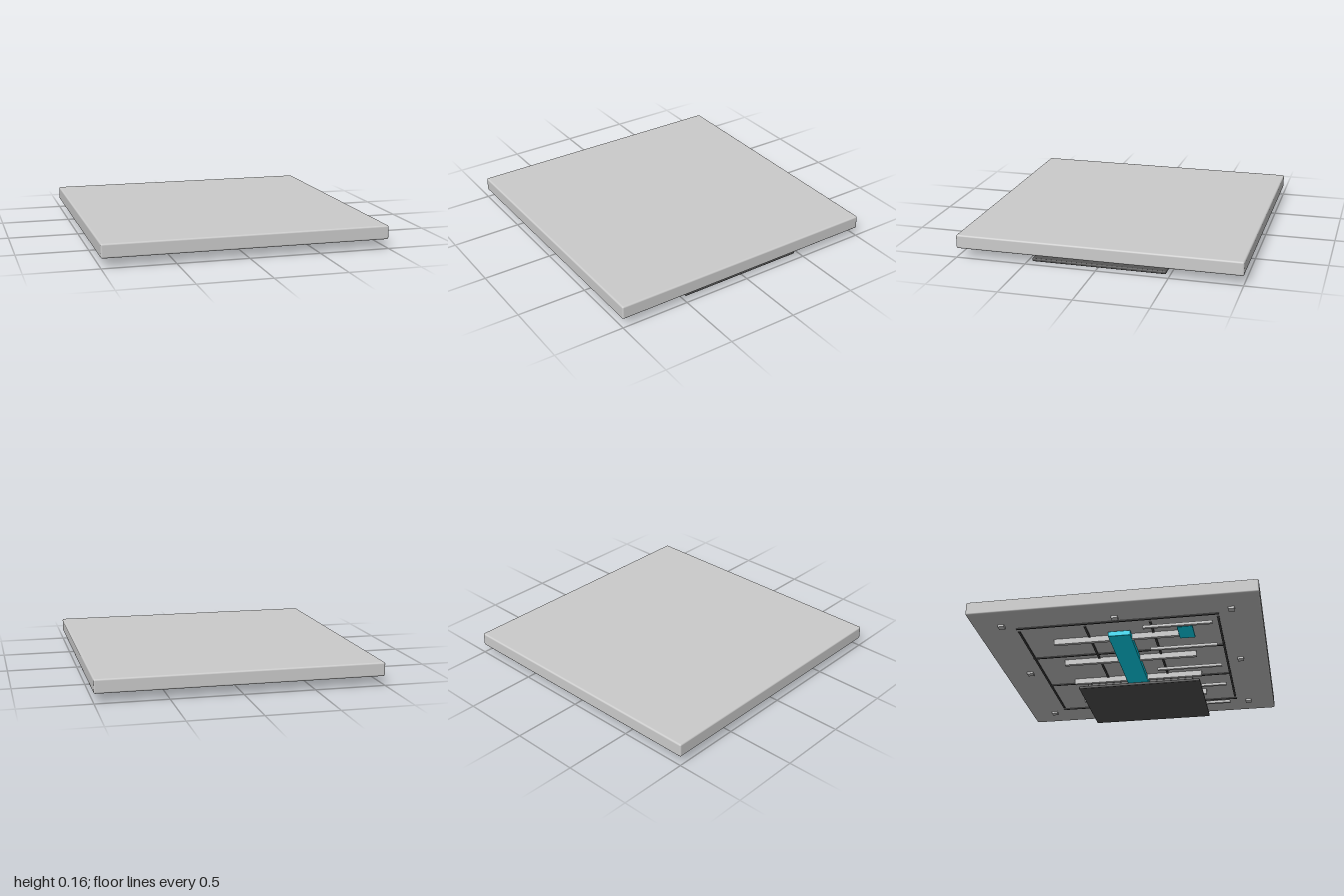
import * as THREE from 'three';
import { RoundedBoxGeometry } from 'three/addons/geometries/RoundedBoxGeometry.js';

const grey = new THREE.MeshStandardMaterial({ color: 0xcccccc });
const bodyGrey = new THREE.MeshStandardMaterial({ color: 0x666666 });
const plateGrey = new THREE.MeshStandardMaterial({ color: 0x555555 });
const stripGrey = new THREE.MeshStandardMaterial({ color: 0x444444 });
const cyan = new THREE.MeshStandardMaterial({ color: 0x00e5ff });

export function createModel() {
  const model = new THREE.Group();

  // Box from its ranges on each axis, with an optional rounded edge
  function block(name, material, [x0, x1], [y0, y1], [z0, z1], radius = 0) {
    const size = [x1 - x0, y1 - y0, z1 - z0];
    const geometry = radius
      ? new RoundedBoxGeometry(...size, 2, radius)
      : new THREE.BoxGeometry(...size);
    const mesh = new THREE.Mesh(geometry, material);
    mesh.name = name;
    mesh.position.set((x0 + x1) / 2, (y0 + y1) / 2, (z0 + z1) / 2);
    model.add(mesh);
  }
  const around = (centre, width) => [centre - width / 2, centre + width / 2];

  // Main slab
  block('slab', grey, [-1, 1], [0.065, 0.163], [-1, 1], 0.012);

  // Mounting pads around the underside
  for (const x of [-0.8, 0, 0.8]) {
    for (const z of [-0.8, 0, 0.8]) {
      if (x || z) block('pad', grey, around(x, 0.045), [0.049, 0.07], around(z, 0.045));
    }
  }

  // Grid of thin dark strips
  for (const z of [-0.7, -0.23, 0.23, 0.7]) {
    block('crossStrip', stripGrey, [-0.7, 0.7], [0.058, 0.068], around(z, 0.015));
  }
  for (const x of [-0.74, -0.25, 0.25, 0.74]) {
    block('longStrip', stripGrey, around(x, 0.015), [0.058, 0.068], [-0.71, 0.71]);
  }

  // Support bars
  for (const x of [-0.52, -0.17, 0.18, 0.53]) {
    block('supportBar', grey, around(x, 0.027), [0.024, 0.067], [-0.49, 0.49]);
  }

  // Thin rods toward the front edge
  for (const x of [-0.7, -0.35, 0, 0.35, 0.7]) {
    block('rod', grey, around(x, 0.022), [0.011, 0.031], [0.18, 0.66]);
  }

  // Coloured rail and small coloured tab
  block('rail', cyan, [-0.6, 0.28], [0.022, 0.06], [-0.085, 0.075], 0.005);
  block('tab', cyan, [-0.67, -0.49], [0.018, 0.032], [0.41, 0.52], 0.005);

  // Dark housing with its cover plate
  block('housing', bodyGrey, [0.27, 0.88], [0.015, 0.06], [-0.41, 0.41], 0.005);
  block('coverPlate', plateGrey, [0.21, 0.94], [0, 0.022], [-0.47, 0.47], 0.008);

  return model;
}
